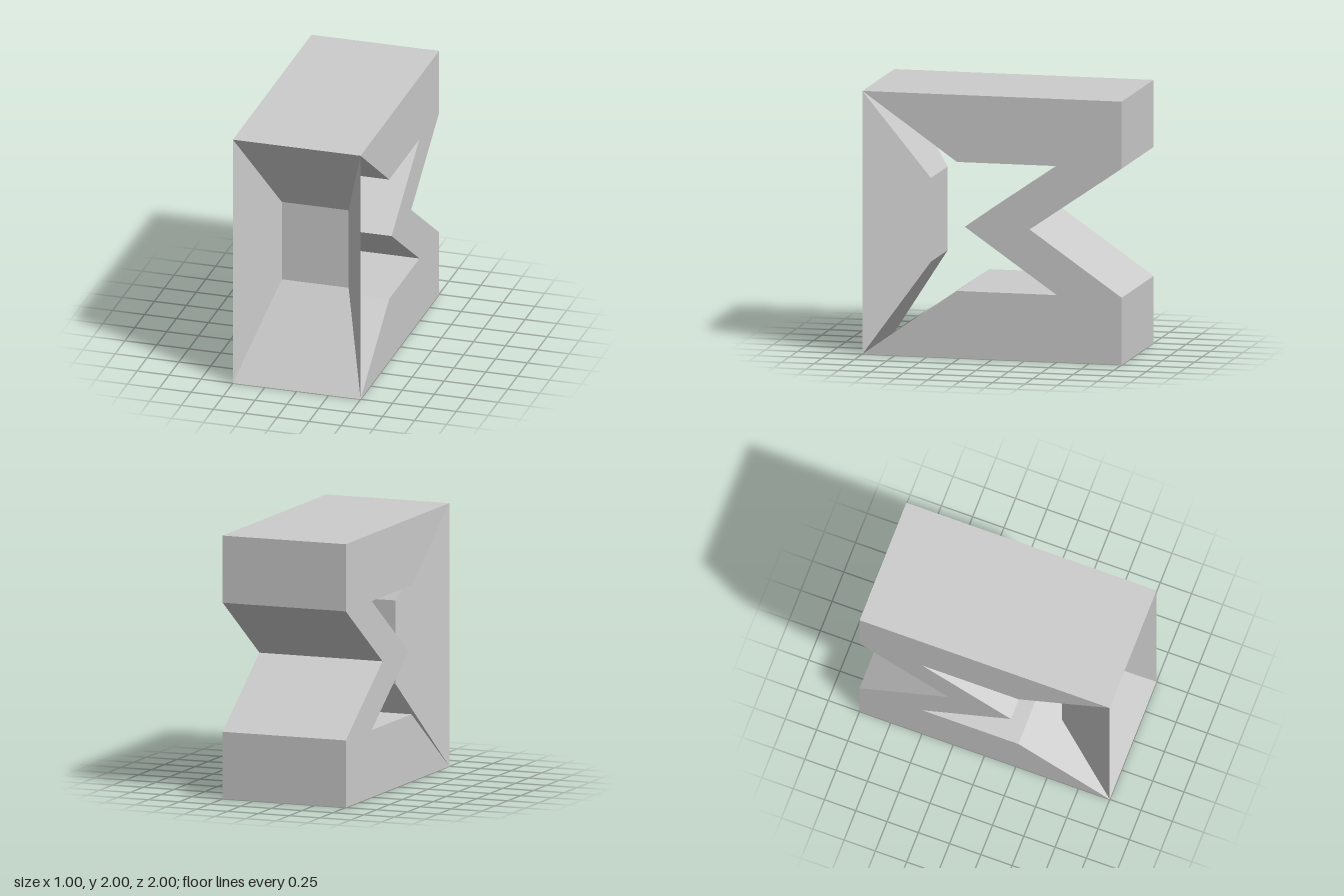
import * as THREE from 'three';

const WIDTH = 1;
const material = new THREE.MeshStandardMaterial({ color: 0xcccccc, flatShading: true });
const shellMaterial = new THREE.MeshStandardMaterial({ color: 0xcccccc, flatShading: true, side: THREE.DoubleSide });

// Zigzag body: side profile in (z, y), mirrored about y = 1, extruded along x
function createBody() {
  const lower = [[0.21, 1], [-0.5, 0.51], [0.27, 0.51], [1, 0], [-1, 0], [-1, 0.51], [-0.29, 1]];
  const upper = lower.slice(1, -1).reverse().map(([z, y]) => [z, 2 - y]);
  const shape = new THREE.Shape([...lower, ...upper].map(([z, y]) => new THREE.Vector2(z, y)));
  const geometry = new THREE.ExtrudeGeometry(shape, { depth: WIDTH, bevelEnabled: false });
  geometry.translate(0, 0, -WIDTH / 2).rotateY(-Math.PI / 2);
  const mesh = new THREE.Mesh(geometry, material);
  mesh.name = 'zigzagBody';
  return mesh;
}

// Thin funnel: a large front rectangle tapering to a smaller closed back
function createFunnel() {
  const ring = (hx, hy, z) => [[-hx, -hy], [hx, -hy], [hx, hy], [-hx, hy]].flatMap(([x, y]) => [x, 1 + y, z]);
  const positions = [...ring(WIDTH / 2, 1, 1), ...ring(0.262, 0.318, 0.53)];
  const index = [4, 5, 6, 4, 6, 7];
  for (let i = 0; i < 4; i++) {
    const j = (i + 1) % 4;
    index.push(i, j, j + 4, i, j + 4, i + 4);
  }
  const indexed = new THREE.BufferGeometry();
  indexed.setAttribute('position', new THREE.Float32BufferAttribute(positions, 3));
  indexed.setIndex(index);
  const geometry = indexed.toNonIndexed();
  geometry.computeVertexNormals();
  const mesh = new THREE.Mesh(geometry, shellMaterial);
  mesh.name = 'frontFunnel';
  return mesh;
}

export function createModel() {
  const group = new THREE.Group();
  group.name = 'zigzagBlock';
  group.add(createBody(), createFunnel());
  return group;
}
